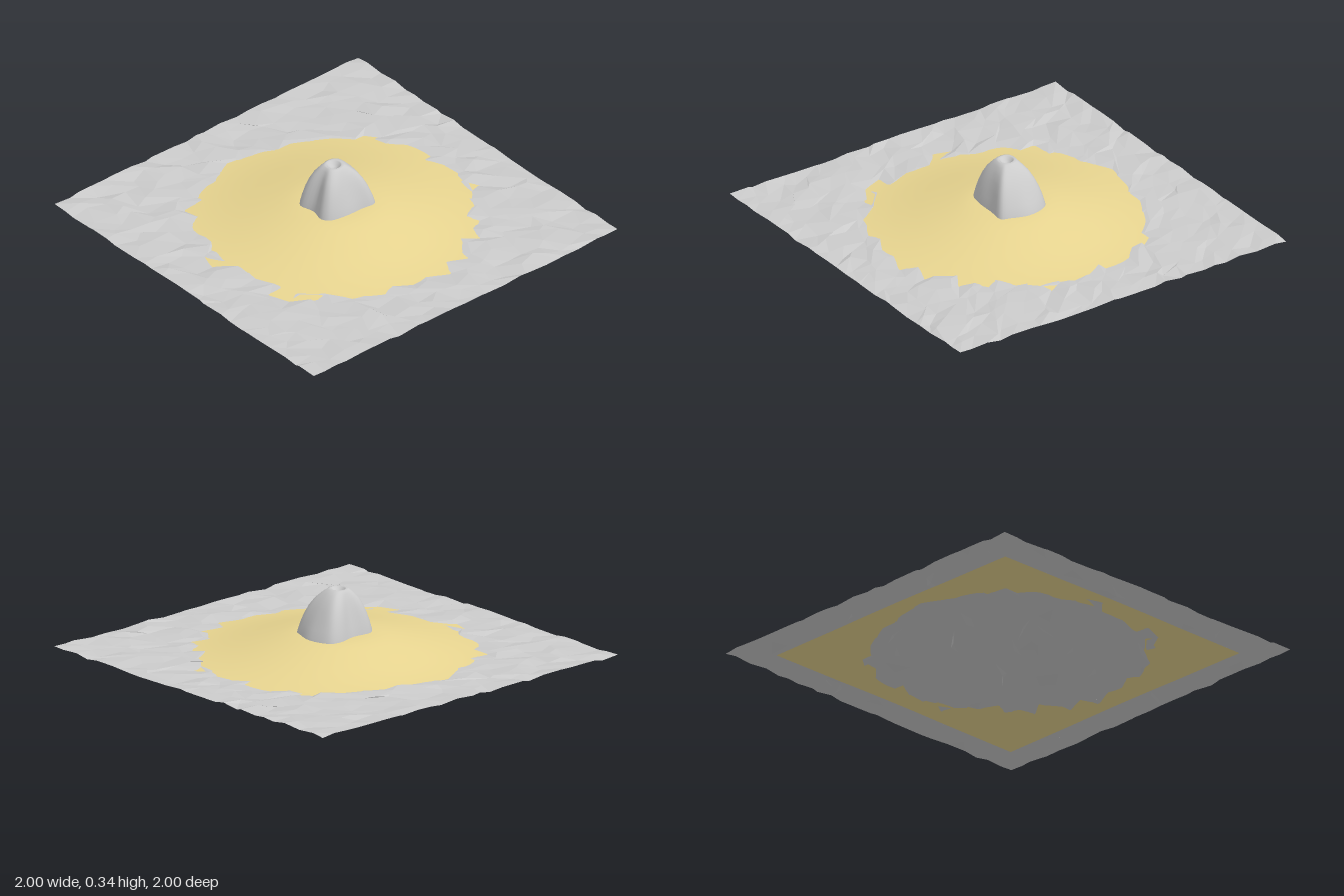
import * as THREE from 'three';
import { mergeVertices } from 'three/addons/utils/BufferGeometryUtils.js';

// Small seeded generator, values in -1..1
function seeded(seed) {
  return () => {
    seed = (seed * 16807) % 2147483647;
    return (seed / 2147483647) * 2 - 1;
  };
}

// Linear interpolation through [x, y] pairs
function profile(points, x) {
  for (let i = 1; i < points.length; i++) {
    const [x0, y0] = points[i - 1], [x1, y1] = points[i];
    if (x <= x1) return y0 + (y1 - y0) * (x - x0) / (x1 - x0);
  }
  return points[points.length - 1][1];
}

// Choppy faceted water sheet with a straight border
function makeSea() {
  const n = 24, cell = 2 / n, rand = seeded(77);
  const geo = new THREE.PlaneGeometry(2, 2, n, n).rotateX(-Math.PI / 2);
  const p = geo.attributes.position;
  for (let i = 0; i < p.count; i++) {
    const x = p.getX(i), z = p.getZ(i);
    const dx = rand() * cell * 0.45, dz = rand() * cell * 0.45;
    if (Math.abs(x) < 0.99) p.setX(i, x + dx);
    if (Math.abs(z) < 0.99) p.setZ(i, z + dz);
    p.setY(i, 0.015 + rand() * 0.007);
  }
  geo.computeVertexNormals();
  const mat = new THREE.MeshStandardMaterial({ color: 0xcccccc, flatShading: true, side: THREE.DoubleSide });
  const mesh = new THREE.Mesh(geo, mat);
  mesh.name = 'sea';
  return mesh;
}

// Square sand sheet raised into a round, flat-topped mound
function makeSand() {
  const slope = [[0, 0.115], [0.18, 0.115], [0.23, 0.109], [0.3, 0.095], [0.4, 0.073],
    [0.5, 0.05], [0.6, 0.03], [0.7, 0.015], [0.8, 0.006], [0.9, 0.002], [1.2, 0]];
  const geo = new THREE.PlaneGeometry(1.64, 1.64, 32, 32).rotateX(-Math.PI / 2);
  const p = geo.attributes.position;
  for (let i = 0; i < p.count; i++) {
    p.setY(i, profile(slope, Math.hypot(p.getX(i), p.getZ(i))));
  }
  geo.computeVertexNormals();
  const mat = new THREE.MeshStandardMaterial({ color: 0xe8d590, side: THREE.DoubleSide });
  const mesh = new THREE.Mesh(geo, mat);
  mesh.name = 'sandIsland';
  return mesh;
}

// Fluted peak: foot outline blended up to a round rim, then down into a crater
function makeMountain() {
  const foot = [[0, -0.19], [0.085, -0.165], [0.143, -0.135], [0.14, -0.05], [0.138, 0.05],
    [0.115, 0.14], [0.075, 0.165], [0, 0.15], [-0.085, 0.165], [-0.125, 0.12],
    [-0.12, 0.01], [-0.143, -0.09], [-0.13, -0.145], [-0.085, -0.175]];
  const curve = new THREE.CatmullRomCurve3(foot.map(([x, z]) => new THREE.Vector3(x, 0, z)), true);
  const n = 56, cz = 0.015;
  const outline = curve.getPoints(n).slice(0, n);
  // [blend from foot to rim, rim radius, height]
  const rows = [[0, 0.045, 0.1], [0.03, 0.045, 0.125], [0.13, 0.045, 0.165], [0.26, 0.045, 0.21],
    [0.42, 0.045, 0.255], [0.6, 0.045, 0.295], [0.8, 0.045, 0.325], [0.94, 0.045, 0.341],
    [1, 0.041, 0.344], [1, 0.034, 0.34], [1, 0.024, 0.327], [1, 0.012, 0.321], [1, 0.0005, 0.32]];
  const pos = [], idx = [];
  rows.forEach(([t, rim, y], j) => {
    outline.forEach((o, i) => {
      const a = Math.atan2(o.z - cz, o.x);
      const r = THREE.MathUtils.lerp(Math.hypot(o.x, o.z - cz), rim, t);
      const flute = 1 - 0.06 * Math.sin(Math.PI * t) * Math.cos(4 * a);
      pos.push(Math.cos(a) * r * flute, y, cz + Math.sin(a) * r * flute);
      if (j === rows.length - 1) return;
      const k = (i + 1) % n, lo = j * n, hi = lo + n;
      idx.push(lo + i, hi + i, lo + k, lo + k, hi + i, hi + k);
    });
  });
  let geo = new THREE.BufferGeometry();
  geo.setAttribute('position', new THREE.Float32BufferAttribute(pos, 3));
  geo.setIndex(idx);
  geo = mergeVertices(geo, 1e-5);
  geo.computeVertexNormals();
  const mesh = new THREE.Mesh(geo, new THREE.MeshStandardMaterial({ color: 0xcccccc, side: THREE.DoubleSide }));
  mesh.name = 'mountain';
  return mesh;
}

export function createModel() {
  const group = new THREE.Group();
  group.name = 'volcanoIsland';
  group.add(makeSea(), makeSand(), makeMountain());
  return group;
}
